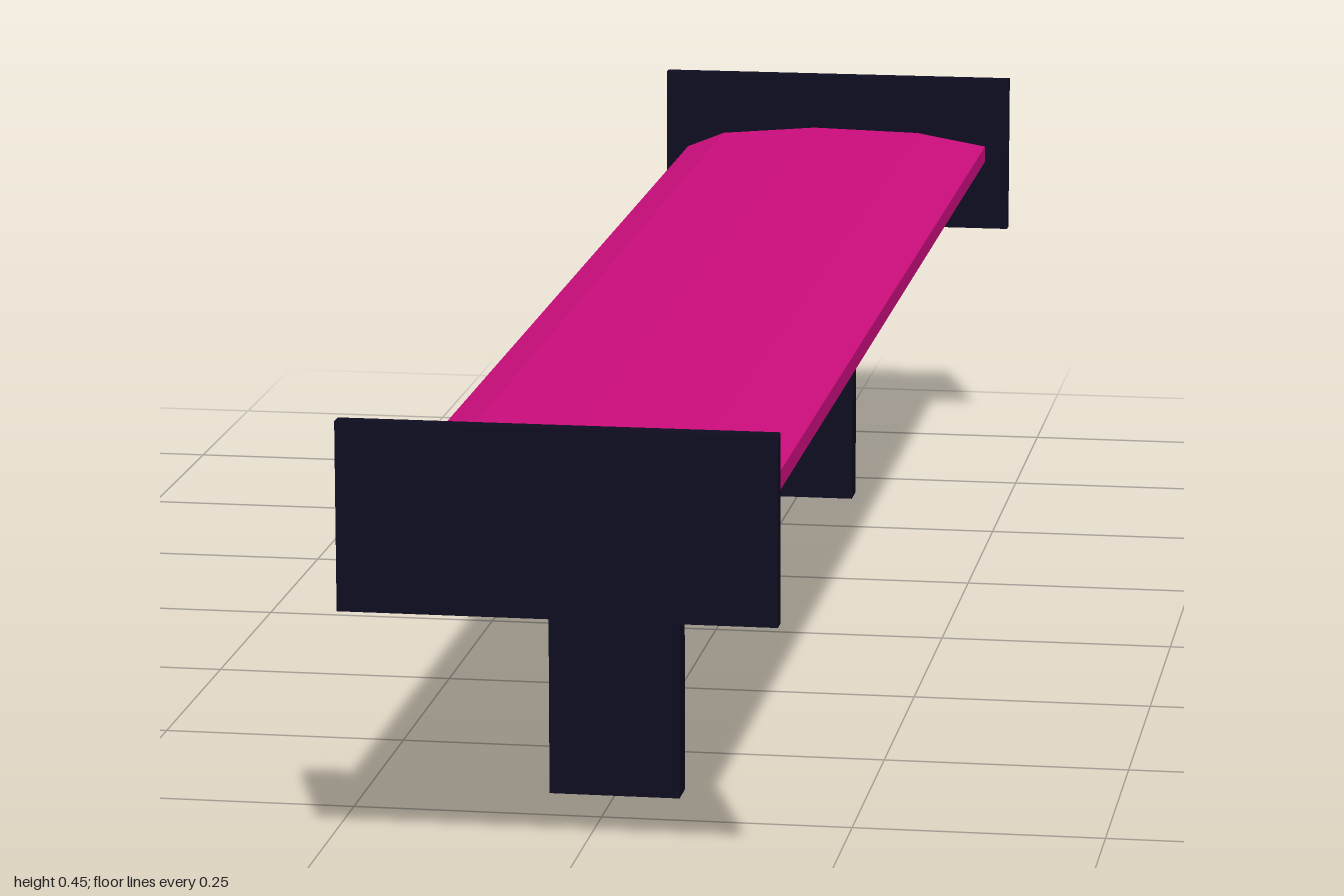
import * as THREE from 'three';

export function createModel() {
  const model = new THREE.Group();
  model.name = 'bench';

  const pink = new THREE.MeshStandardMaterial({ color: 0xcb0d7c, flatShading: true });
  pink.name = 'magenta seat';
  const dark = new THREE.MeshStandardMaterial({ color: 0x0d0d20, flatShading: true });
  dark.name = 'dark navy';

  const seatY = 0.3575;

  // Seat: flattened nine-sided bar, pointed on one long edge and blunt on the other
  const sides = 9;
  const profile = [];
  for (let i = 0; i < sides; i++) {
    const a = Math.PI + (i / sides) * Math.PI * 2;
    profile.push(new THREE.Vector2(0.19 * Math.cos(a) + 0.005, 0.0279 * Math.sin(a)));
  }
  const length = 1.97;
  const seatGeometry = new THREE.ExtrudeGeometry(new THREE.Shape(profile), {
    depth: length,
    bevelEnabled: false,
  });
  seatGeometry.translate(0, seatY, -length / 2);
  const seat = new THREE.Mesh(seatGeometry, pink);
  seat.name = 'seat';
  model.add(seat);

  const addBox = (name, w, h, d, y, z) => {
    const mesh = new THREE.Mesh(new THREE.BoxGeometry(w, h, d), dark);
    mesh.name = name;
    mesh.position.set(0, y, z);
    model.add(mesh);
  };

  // End plates and slab legs, mirrored front to back
  for (const [label, s] of [['front', 1], ['back', -1]]) {
    addBox(label + 'EndPlate', 0.423, 0.185, 0.016, seatY, s * 0.992);
    addBox(label + 'Leg', 0.132, 0.34, 0.034, 0.17, s * 0.656);
  }

  return model;
}
